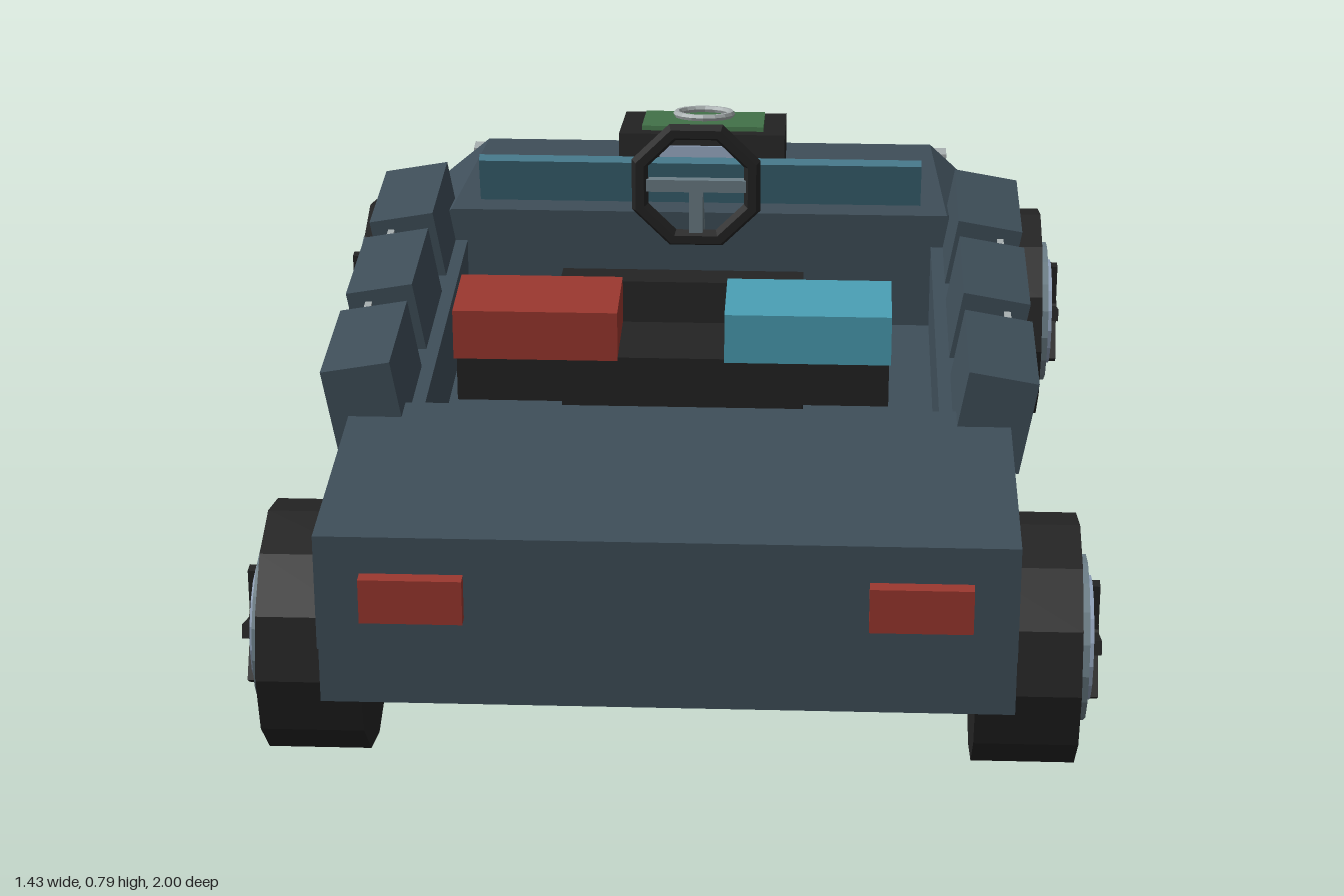
import * as THREE from 'three';
import { ConvexGeometry } from 'three/addons/geometries/ConvexGeometry.js';

export function createModel() {
  const model = new THREE.Group();
  model.name = 'openPatrolCar';
  const paint = (name, color) => {
    const m = new THREE.MeshStandardMaterial({ color, flatShading: true });
    m.name = name;
    return m;
  };
  const slate = paint('slate body', 0x3f4f5a);
  const black = paint('black', 0x242424);
  const red = paint('red lamp', 0x9c382f);
  const cyan = paint('cyan lamp', 0x4aa0b5);
  const teal = paint('teal glass', 0x46788a);
  const green = paint('green panel', 0x44744a);
  const steel = paint('steel', 0x6c7e87);
  const pale = paint('pale blue rim', 0x8fa0b8);
  const silver = paint('silver', 0xa9b0b1);

  const add = (name, geo, mat, parent = model) => {
    const mesh = new THREE.Mesh(geo, mat);
    mesh.name = name;
    parent.add(mesh);
    return mesh;
  };
  // Box given by its min and max along each axis
  const box = (name, mat, [x0, x1], [y0, y1], [z0, z1], parent = model) => {
    const mesh = add(name, new THREE.BoxGeometry(x1 - x0, y1 - y0, z1 - z0), mat, parent);
    mesh.position.set((x0 + x1) / 2, (y0 + y1) / 2, (z0 + z1) / 2);
    return mesh;
  };
  // Convex block from points [halfWidth, y, z], mirrored in x
  const hull = (name, mat, pts) => add(name, new ConvexGeometry(
    pts.flatMap(([x, y, z]) => [new THREE.Vector3(x, y, z), new THREE.Vector3(-x, y, z)])), mat);

  // Body
  box('lowerBody', slate, [-0.57, 0.57], [0.18, 0.3], [-0.89, 0.96]);
  hull('rearDeck', slate, [
    [0.57, 0.285, 0.975], [0.58, 0.34, 0.45], [0.58, 0.285, 0.45],
    [0.57, 0.49, 0.975], [0.57, 0.49, 0.45],
  ]);
  hull('hood', slate, [
    [0.57, 0.29, -0.37], [0.57, 0.44, -0.37], [0.48, 0.53, -0.37],
    [0.57, 0.29, -0.77], [0.57, 0.42, -0.77],
    [0.46, 0.465, -0.94], [0.5, 0.3, -0.98], [0.55, 0.29, -0.88],
  ]);

  // Side walls, rails and leaning door pads
  for (const s of [-1, 1]) {
    const wall = add('sideWall', new THREE.BoxGeometry(0.13, 0.18, 0.84), slate);
    wall.position.set(s * 0.515, 0.375, 0.04);
    const rail = add('sideRail', new THREE.BoxGeometry(0.012, 0.11, 0.64), silver);
    rail.position.set(s * 0.575, 0.502, 0.03);
    for (const z of [0.375, 0.025, -0.325]) {
      const pad = add('doorPad', new THREE.BoxGeometry(0.122, 0.172, 0.273), slate);
      pad.position.set(s * 0.541, 0.497, z);
      pad.rotation.z = -s * 0.175;
    }
  }

  // Bumper, headlights and tail lights
  box('bumper', steel, [-0.595, 0.595], [0.222, 0.3], [-1, -0.925]);
  for (const s of [-1, 1]) {
    const head = add('headlight', new THREE.BoxGeometry(0.18, 0.068, 0.04), silver);
    head.position.set(s * 0.405, 0.402, -0.98);
    const tail = add('tailLight', new THREE.BoxGeometry(0.168, 0.078, 0.03), red);
    tail.position.set(s * 0.412, 0.386, 0.985);
  }

  // Windscreen
  const screen = add('windscreen', new THREE.BoxGeometry(0.86, 0.11, 0.022), teal);
  screen.position.set(0, 0.56, -0.447);
  screen.rotation.x = 0.25;

  // Seat
  box('seatBase', black, [-0.21, 0.21], [0.3, 0.52], [-0.06, 0.39]);
  const back = new THREE.Group();
  back.name = 'seatBack';
  back.position.set(0, 0.59, 0.36);
  back.rotation.x = -0.12;
  model.add(back);
  box('backrest', black, [-0.21, 0.21], [-0.1, 0.105], [-0.036, 0.044], back);
  box('backrestPanel', slate, [-0.157, 0.157], [-0.06, 0.085], [-0.054, -0.036], back);

  // Steering wheel and column
  const wheel = new THREE.Group();
  wheel.name = 'steeringWheel';
  wheel.position.set(0, 0.635, -0.245);
  model.add(wheel);
  add('wheelRing', new THREE.TorusGeometry(0.115, 0.017, 6, 8), black, wheel).rotation.z = Math.PI / 8;
  box('wheelBar', steel, [-0.11, 0.11], [-0.012, 0.012], [-0.008, 0.008], wheel);
  box('wheelStem', steel, [-0.013, 0.013], [-0.11, 0], [-0.008, 0.008], wheel);
  const column = add('steeringColumn', new THREE.BoxGeometry(0.024, 0.024, 0.2), steel);
  column.position.set(0, 0.56, -0.315);
  column.rotation.x = -0.85;

  // Tilted unit on the hood
  const unit = new THREE.Group();
  unit.name = 'hoodUnit';
  unit.position.set(0, 0.56, -0.647);
  unit.rotation.x = -0.18;
  model.add(unit);
  box('unitCase', black, [-0.163, 0.163], [-0.055, 0.05], [-0.13, 0.13], unit);
  box('unitPanel', green, [-0.12, 0.12], [0.05, 0.059], [-0.09, 0.09], unit);
  const dial = add('unitRing', new THREE.TorusGeometry(0.055, 0.007, 6, 16), silver, unit);
  dial.position.y = 0.07;
  dial.rotation.x = Math.PI / 2;
  for (const s of [-1, 1]) {
    const plate = add('unitHandle', new THREE.BoxGeometry(0.165, 0.035, 0.012), pale, unit);
    plate.position.set(0, 0.01, s * 0.134);
  }

  // Light bar
  box('lightBar', black, [-0.355, 0.355], [0.625, 0.705], [0.58, 0.73]);
  box('redBeacon', red, [-0.36, -0.09], [0.7, 0.785], [0.577, 0.733]);
  box('cyanBeacon', cyan, [0.085, 0.358], [0.7, 0.785], [0.577, 0.733]);

  // Wheels, built with the outer side along +x
  const disc = (name, r, x0, x1, sides, mat, parent) => {
    const geo = new THREE.CylinderGeometry(r, r, x1 - x0, sides);
    geo.rotateX(0).rotateZ(-Math.PI / 2);
    add(name, geo, mat, parent).position.x = (x0 + x1) / 2;
  };
  for (const s of [-1, 1]) {
    for (const z of [0.742, -0.666]) {
      const w = new THREE.Group();
      w.name = 'wheel';
      w.position.set(0, 0.21, z);
      w.rotation.y = s > 0 ? 0 : Math.PI;
      model.add(w);
      disc('tire', 0.21, 0.505, 0.678, 12, black, w);
      disc('rim', 0.14, 0.67, 0.694, 16, steel, w);
      disc('hubPlate', 0.105, 0.69, 0.703, 16, pale, w);
      disc('hubCap', 0.026, 0.7, 0.717, 10, black, w);
      for (let i = 0; i < 5; i++) {
        const geo = new THREE.BoxGeometry(0.014, 0.1, 0.024).translate(0.709, 0.052, 0);
        add('spoke', geo, black, w).rotation.x = i * Math.PI * 0.4;
      }
    }
  }
  return model;
}
